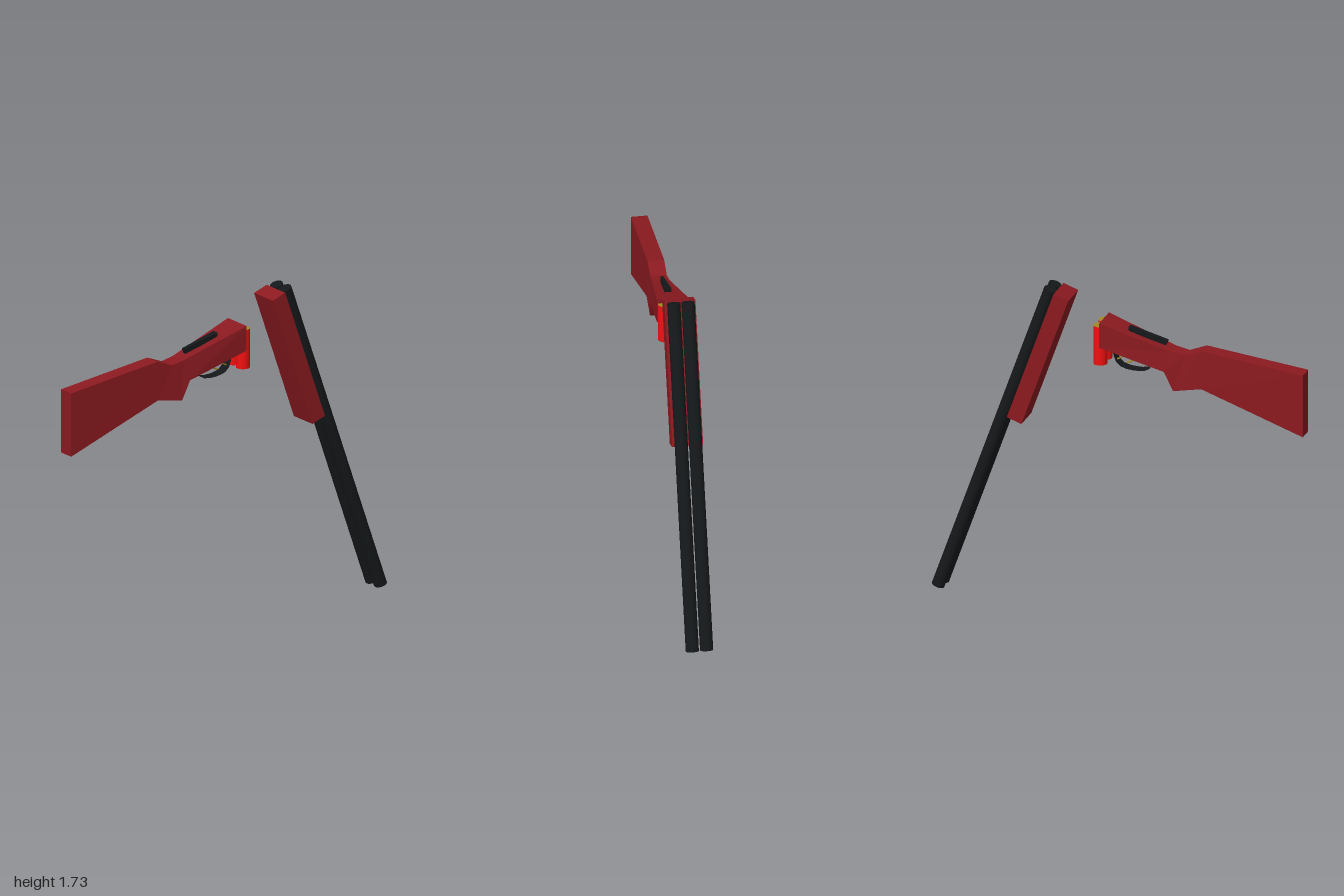
import * as THREE from 'three';

const mat = (color, side = THREE.FrontSide) =>
  new THREE.MeshStandardMaterial({ color, side, flatShading: true });

// Four-sided loft along z; each section is [zTop, yTop, zBottom, yBottom, halfWidthTop, halfWidthBottom]
function loft(sections) {
  const pos = [], idx = [];
  for (const [zt, yt, zb, yb, wt, wb] of sections) {
    pos.push(-wt, yt, zt, wt, yt, zt, wb, yb, zb, -wb, yb, zb);
  }
  const last = (sections.length - 1) * 4;
  for (let a = 0; a < last; a += 4) {
    for (let k = 0; k < 4; k++) {
      const n = (k + 1) % 4;
      idx.push(a + k, a + 4 + k, a + 4 + n, a + k, a + 4 + n, a + n);
    }
  }
  idx.push(0, 1, 2, 0, 2, 3, last, last + 2, last + 1, last, last + 3, last + 2);
  const geo = new THREE.BufferGeometry();
  geo.setAttribute('position', new THREE.Float32BufferAttribute(pos, 3));
  geo.setIndex(idx);
  const flat = geo.toNonIndexed();
  flat.computeVertexNormals();
  return flat;
}

// Thin band of constant width following a curve in the y-z plane
function band(points, halfWidth, steps = 10) {
  const curve = new THREE.CatmullRomCurve3(points.map(([z, y]) => new THREE.Vector3(0, y, z)));
  const geo = new THREE.PlaneGeometry(1, 1, 1, steps);
  const p = geo.attributes.position;
  for (let i = 0; i <= steps; i++) {
    const c = curve.getPoint(i / steps);
    p.setXYZ(i * 2, -halfWidth, c.y, c.z);
    p.setXYZ(i * 2 + 1, halfWidth, c.y, c.z);
  }
  geo.computeVertexNormals();
  return geo;
}

export function createModel() {
  const group = new THREE.Group();
  const wood = mat(0x8b1a20);
  const steel = mat(0x15181a);
  const steelSmooth = new THREE.MeshStandardMaterial({ color: 0x15181a });
  const shellRed = new THREE.MeshStandardMaterial({ color: 0xf01010 });
  const brass = new THREE.MeshStandardMaterial({ color: 0xa08a20 });
  const add = (name, geo, material, parent = group) => {
    const mesh = new THREE.Mesh(geo, material);
    mesh.name = name;
    parent.add(mesh);
    return mesh;
  };

  // Stock: receiver, wrist, grip and butt in one faceted loft
  add('stock', loft([
    [-0.085, 1.588, -0.085, 1.455, 0.08, 0.08],
    [0.29, 1.468, 0.257, 1.358, 0.046, 0.058],
    [0.364, 1.455, 0.305, 1.257, 0.042, 0.054],
    [0.455, 1.492, 0.455, 1.285, 0.043, 0.048],
    [1.0, 1.43, 1.0, 1.09, 0.043, 0.043],
  ]), wood);

  // Opening lever on top of the receiver
  add('topLever', loft([
    [0.053, 1.563, 0.053, 1.54, 0.018, 0.018],
    [0.262, 1.513, 0.25, 1.485, 0.008, 0.008],
  ]), steel);

  // Trigger guard and the two triggers
  add('triggerGuard', band([[0.19, 1.385], [0.16, 1.345], [0.08, 1.333], [0, 1.355], [-0.035, 1.445]], 0.03),
    mat(0x15181a, THREE.DoubleSide));
  for (const [dz, dy] of [[0, 0], [-0.06, 0.01]]) {
    const path = [[0.075, 1.42], [0.077, 1.395], [0.065, 1.372], [0.038, 1.36]]
      .map(([z, y]) => new THREE.Vector3(0, y + dy, z + dz));
    add('trigger', new THREE.TubeGeometry(new THREE.CatmullRomCurve3(path), 10, 0.004, 6), brass)
      .scale.x = 2;
  }

  // Pair of cartridges with brass heads
  for (const side of [-1, 1]) {
    add('cartridge', new THREE.CylinderGeometry(0.036, 0.036, 0.21, 24), [shellRed, brass, shellRed])
      .position.set(side * 0.04, 1.46, -0.091);
  }

  // Tilted barrel assembly: twin barrels with the fore-end along the front
  const tilt = 0.34;
  const barrels = new THREE.Group();
  barrels.name = 'barrelAssembly';
  barrels.position.set(0, 0.871, -0.6625);
  barrels.rotation.x = tilt;
  group.add(barrels);
  for (const side of [-1, 1]) {
    add('barrel', new THREE.CylinderGeometry(0.034, 0.034, 1.816, 24), steelSmooth, barrels)
      .position.x = side * 0.037;
  }
  add('foreEnd', new THREE.BoxGeometry(0.16, 0.755, 0.084), wood, barrels)
    .position.set(0, 0.532, 0.073);

  return group;
}
